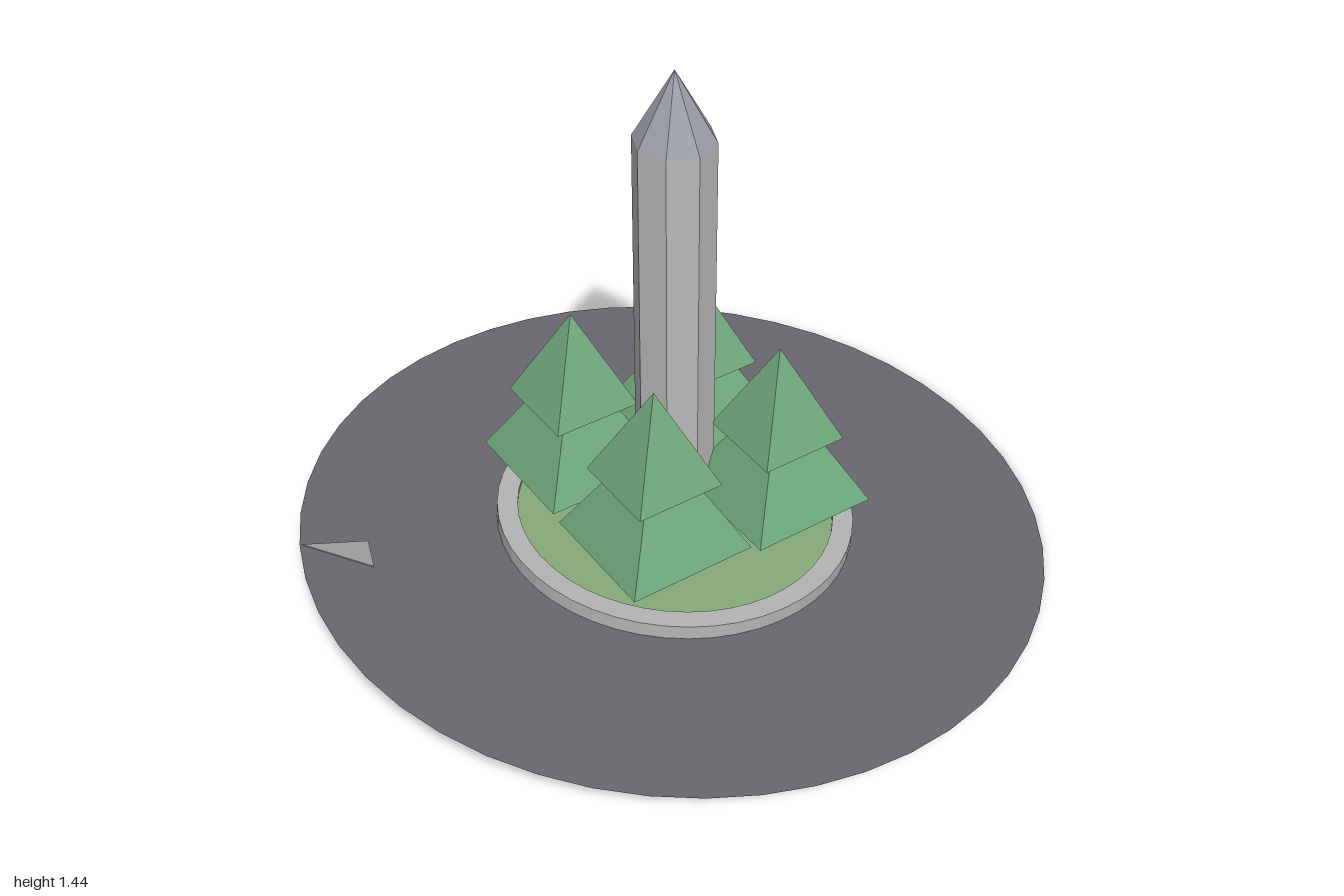
import * as THREE from 'three';

const mat = (color, side = THREE.FrontSide) =>
  new THREE.MeshStandardMaterial({ color, side, flatShading: true });

const paving = mat(0x6a686e, THREE.DoubleSide);
const stone = mat(0xb4b4b4, THREE.DoubleSide);
const grass = mat(0x86aa7a, THREE.DoubleSide);
const arrow = mat(0x9c9c9c);
const shaft = mat(0xb8b8b8);
const capStone = mat(0x9c9fa8);
const bark = mat(0x8b6f58);
const leaves = mat(0x6fa87b);

function add(parent, name, geometry, material, y = 0) {
  const mesh = new THREE.Mesh(geometry, material);
  mesh.name = name;
  mesh.position.y = y;
  parent.add(mesh);
  return mesh;
}

// Height of the sloping ground plane
const groundY = (x, z) => 0.072 - 0.069 * x + 0.022 * z;
const SEGMENTS = 48;

function createGround() {
  const ground = new THREE.Group();
  ground.name = 'slopingGround';
  ground.position.y = groundY(0, 0);
  ground.quaternion.setFromUnitVectors(
    new THREE.Vector3(0, 1, 0),
    new THREE.Vector3(0.069, 1, -0.022).normalize()
  );

  // Paved ring, open in the middle
  add(ground, 'pavedRing', new THREE.RingGeometry(0.48, 1, SEGMENTS).rotateX(-Math.PI / 2), paving);

  // Raised curb: outer wall, top and inner wall
  const profile = [[0.48, 0], [0.48, 0.04], [0.425, 0.04], [0.425, 0.025]]
    .map(([r, y]) => new THREE.Vector2(r, y));
  add(ground, 'curb', new THREE.LatheGeometry(profile, SEGMENTS), stone);

  // Lawn inside the curb
  add(ground, 'lawn', new THREE.CircleGeometry(0.425, SEGMENTS).rotateX(-Math.PI / 2), grass, 0.025);

  // Thin triangular marker in the paving (shape y becomes -z)
  const triangle = new THREE.Shape([[-0.985, -0.13], [-0.795, -0.215], [-0.815, -0.115]]
    .map(([x, y]) => new THREE.Vector2(x, y)));
  const marker = new THREE.ExtrudeGeometry(triangle, { depth: 0.006, bevelEnabled: false });
  add(ground, 'pavingMarker', marker.rotateX(-Math.PI / 2), arrow, -0.003);
  return ground;
}

// Upright octagonal pillar with a pointed cap
function createPillar() {
  const pillar = new THREE.Group();
  pillar.name = 'pillar';
  const bottom = 0.09, shoulder = 1.25, tip = 1.435, radius = 0.105;
  add(pillar, 'pillarShaft',
    new THREE.CylinderGeometry(radius, radius, shoulder - bottom, 8), shaft, (shoulder + bottom) / 2);
  add(pillar, 'pillarCap',
    new THREE.ConeGeometry(radius, tip - shoulder, 8), capStone, (shoulder + tip) / 2);
  return pillar;
}

// Two-tier tree with four-sided trunk and foliage
function createTree() {
  const tree = new THREE.Group();
  tree.name = 'tree';
  add(tree, 'trunk', new THREE.CylinderGeometry(0.037, 0.037, 0.16, 4), bark, 0.094);
  add(tree, 'lowerFoliage', new THREE.ConeGeometry(0.25, 0.33, 4), leaves, 0.157 + 0.165);
  add(tree, 'upperFoliage', new THREE.ConeGeometry(0.172, 0.264, 4), leaves, 0.352 + 0.132);
  return tree;
}

export function createModel() {
  const model = new THREE.Group();
  model.name = 'treeCircleMonument';
  model.add(createGround());

  // Pillar and trees share the same turn about the vertical axis
  const turn = THREE.MathUtils.degToRad(15);
  const pillar = createPillar();
  pillar.rotation.y = -turn;
  model.add(pillar);

  for (let i = 0; i < 4; i++) {
    const a = turn + i * Math.PI / 2;
    const x = 0.27 * Math.cos(a), z = 0.27 * Math.sin(a);
    const tree = createTree();
    tree.position.set(x, groundY(x, z), z);
    tree.rotation.y = -a;
    model.add(tree);
  }
  return model;
}
